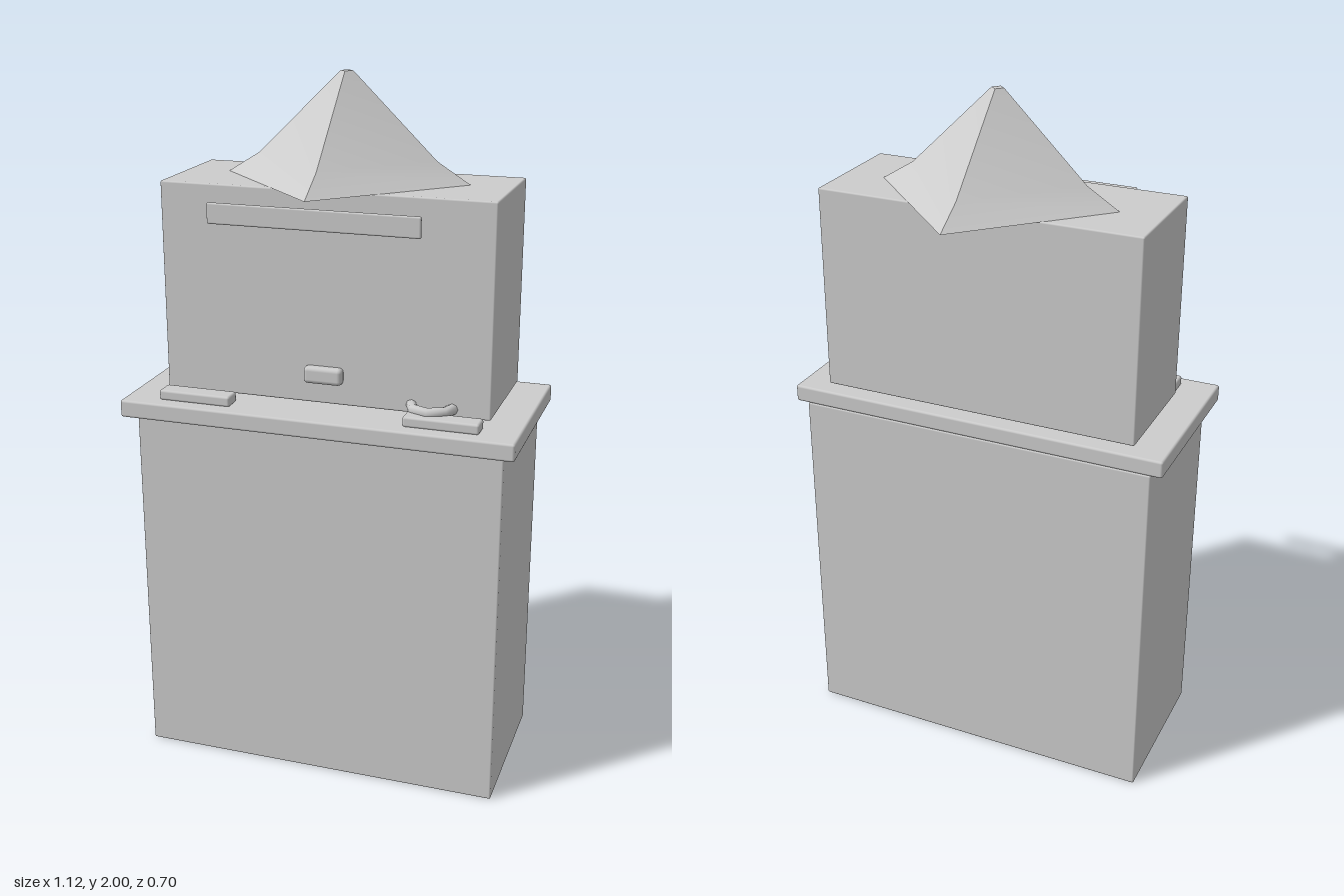
import * as THREE from 'three';
import { toCreasedNormals } from 'three/addons/utils/BufferGeometryUtils.js';
import { RoundedBoxGeometry } from 'three/addons/geometries/RoundedBoxGeometry.js';

export function createModel() {
  const model = new THREE.Group();
  model.name = 'cabinet';
  const grey = new THREE.MeshStandardMaterial({ color: 0xcccccc, side: THREE.DoubleSide });
  grey.name = 'light grey';

  const add = (name, geometry) => {
    const mesh = new THREE.Mesh(geometry, grey);
    mesh.name = name;
    model.add(mesh);
    return mesh;
  };

  // Softly bevelled box given by its extents on each axis
  const box = (name, [x0, x1], [y0, y1], [z0, z1], bevel = 0.005) => {
    const mesh = add(name, new RoundedBoxGeometry(x1 - x0, y1 - y0, z1 - z0, 2, bevel));
    mesh.position.set((x0 + x1) / 2, (y0 + y1) / 2, (z0 + z1) / 2);
  };

  // Main volumes
  box('lowerCabinet', [-0.53, 0.525], [0, 1.06], [-0.187, 0.284]);
  box('counterTop', [-0.563, 0.561], [1.06, 1.11], [-0.189, 0.325], 0.007);
  box('upperCabinet', [-0.47, 0.468], [1.12, 1.71], [-0.154, 0.198]);

  // Front fittings
  box('frontRail', [-0.293, 0.293], [1.623, 1.68], [0.287, 0.298]);
  box('handle', [-0.055, 0.055], [1.18, 1.228], [0.19, 0.223], 0.012);

  // Pads on the counter
  box('rightPad', [-0.46, -0.25], [1.108, 1.138], [0.228, 0.284], 0.007);
  box('leftPad', [0.246, 0.456], [1.108, 1.138], [0.228, 0.284], 0.007);

  // Coarse ring lying on the left pad
  const ring = add('ring', new THREE.TorusGeometry(0.06, 0.016, 8, 8));
  ring.rotation.x = Math.PI / 2;
  ring.position.set(0.305, 1.142, 0.19);

  // Open four-sided roof with flared eaves
  const profile = [[0.348, 1.71], [0.255, 1.768], [0.018, 1.998], [0, 2]];
  const roof = new THREE.LatheGeometry(profile.map(([r, y]) => new THREE.Vector2(r, y)), 4);
  add('roof', toCreasedNormals(roof, 0.55));

  return model;
}
